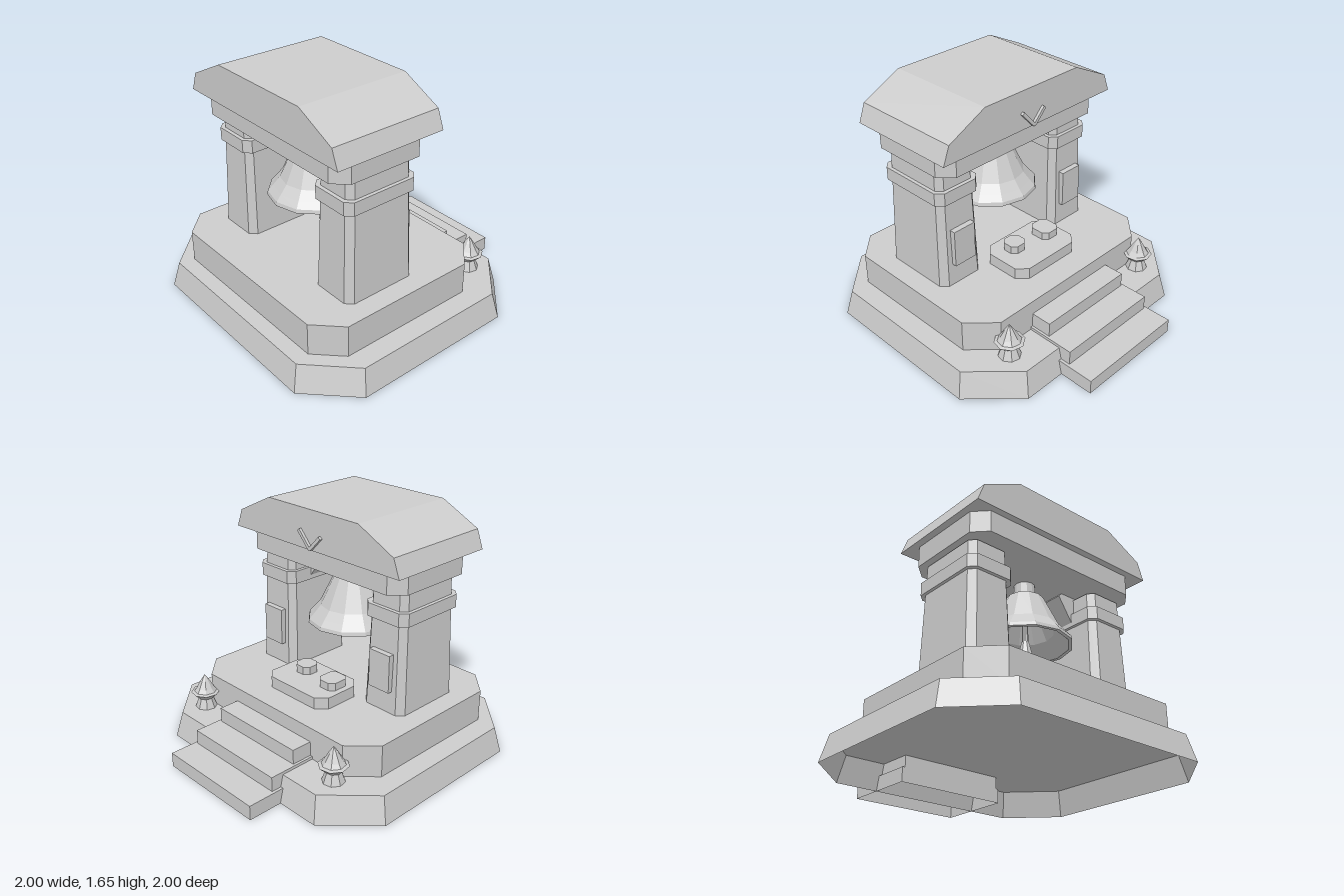
import * as THREE from 'three';

const stone = new THREE.MeshStandardMaterial({ color: 0xcccccc, flatShading: true, side: THREE.DoubleSide });
stone.name = 'grey stone';

function add(parent, name, geometry, x = 0, y = 0, z = 0) {
  const mesh = new THREE.Mesh(geometry, stone);
  mesh.name = name;
  mesh.position.set(x, y, z);
  parent.add(mesh);
  return mesh;
}

// Drops the faces lying on the lowest level, leaving a hollow shell.
function openBelow(source) {
  const geo = source.index ? source.toNonIndexed() : source;
  geo.computeBoundingBox();
  const floor = geo.boundingBox.min.y + 1e-5;
  const p = geo.attributes.position;
  const kept = [];
  for (let i = 0; i < p.count; i += 3) {
    if ([0, 1, 2].every((k) => p.getY(i + k) < floor)) continue;
    for (let k = 0; k < 3; k++) kept.push(p.getX(i + k), p.getY(i + k), p.getZ(i + k));
  }
  const shell = new THREE.BufferGeometry();
  shell.setAttribute('position', new THREE.Float32BufferAttribute(kept, 3));
  shell.computeVertexNormals();
  return shell;
}

// Box with cut vertical corners; the top may be smaller than the bottom.
function chamferedBlock(w, h, d, cut, inset = 0) {
  const a = w / 2, b = d / 2;
  const shape = new THREE.Shape([
    [a, -b + cut], [a, b - cut], [a - cut, b], [-a + cut, b],
    [-a, b - cut], [-a, -b + cut], [-a + cut, -b], [a - cut, -b],
  ].map(([x, y]) => new THREE.Vector2(x, y)));
  const geo = new THREE.ExtrudeGeometry(shape, { depth: h, bevelEnabled: false });
  geo.rotateX(-Math.PI / 2);
  const p = geo.attributes.position;
  for (let i = 0; i < p.count; i++) {
    if (p.getY(i) > h / 2) {
      p.setX(i, p.getX(i) * (a - inset) / a);
      p.setZ(i, p.getZ(i) * (b - inset) / b);
    }
  }
  geo.computeVertexNormals();
  return geo;
}

// Flat outline in x and y, given depth along z.
function slab(points, z0, z1) {
  const shape = new THREE.Shape(points.map(([x, y]) => new THREE.Vector2(x, y)));
  const geo = new THREE.ExtrudeGeometry(shape, { depth: z1 - z0, bevelEnabled: false });
  return geo.translate(0, 0, z0);
}

function lathe(points, sides) {
  const geo = new THREE.LatheGeometry(points.map(([r, y]) => new THREE.Vector2(r, y)), sides).toNonIndexed();
  geo.computeVertexNormals();
  return geo;
}

export function createModel() {
  const model = new THREE.Group();
  model.name = 'bellShrine';

  // Two-tier plinth, hollow underneath
  add(model, 'lowerBase', openBelow(chamferedBlock(2, 0.18, 1.76, 0.3, 0.043)), 0, 0, 0.12);
  add(model, 'upperBase', openBelow(chamferedBlock(1.63, 0.22, 1.32, 0.17)), 0, 0.18, 0.19);

  // Hollow steps at the back
  [[0.8, -1], [0.76, -0.807], [0.725, -0.615]].forEach(([w, z], i) => {
    const depth = -0.465 - z;
    add(model, 'step' + (i + 1), openBelow(new THREE.BoxGeometry(w, 0.1, depth)), 0, 0.05 + i * 0.1, z + depth / 2);
  });

  // Low pedestal with two small blocks
  add(model, 'pedestal', chamferedBlock(0.55, 0.08, 0.37, 0.067), 0, 0.4, -0.105);
  add(model, 'offeringBlockRight', chamferedBlock(0.145, 0.053, 0.16, 0.033), -0.162, 0.48, -0.076);
  add(model, 'offeringBlockLeft', chamferedBlock(0.13, 0.056, 0.13, 0.033), 0.11, 0.48, -0.055);

  for (const s of [1, -1]) {
    const side = s > 0 ? 'left' : 'right';

    // Tapered pillar with its collar and back plaque
    const pillar = new THREE.Group();
    pillar.name = side + 'Pillar';
    model.add(pillar);
    add(pillar, 'shaft', chamferedBlock(0.34, 0.826, 0.54, 0.045, 0.025), s * 0.506, 0.4, 0.29);
    add(pillar, 'collar', chamferedBlock(0.345, 0.09, 0.55, 0.045), s * 0.506, 1.02, 0.29);
    add(pillar, 'plaque', new THREE.BoxGeometry(0.17, 0.26, 0.06), s * 0.505, 0.685, 0.023);

    // Diagonal brace under the beam
    let outline = [[0.5, 1.24], [0.25, 1.24], [0.225, 1.215], [0.34, 1.04], [0.5, 1.04]];
    outline = outline.map(([x, y]) => [x * s, y]);
    add(model, side + 'Brace', slab(outline, 0.2, 0.37));

    // Corner finial
    const finial = [[0, 0], [0.075, 0], [0.05, 0.068], [0.1, 0.115], [0.078, 0.122],
      [0.06, 0.148], [0.03, 0.2], [0, 0.245]];
    const ornament = add(model, side + 'Finial', lathe(finial, 8), s * 0.637, 0.18, -0.535);
    ornament.rotation.y = s * 0.2;
  }

  // Beam and roof
  add(model, 'beam', chamferedBlock(1.37, 0.145, 0.7, 0.09), 0, 1.24, 0.29);
  add(model, 'roof', slab([[-0.733, 1.385], [0.733, 1.385], [0.685, 1.51],
    [0.4, 1.65], [-0.4, 1.65], [-0.685, 1.51]], -0.11, 0.685));

  // Carved chevron on the back of the roof
  for (const [x, y] of [[0.1, 1.505], [-0.09, 1.49]]) {
    const dy = y - 1.395;
    const bar = add(model, 'roofChevronBar', new THREE.BoxGeometry(Math.hypot(x, dy), 0.022, 0.04),
      x / 2, 1.395 + dy / 2, -0.11);
    bar.rotation.z = Math.atan2(dy, x);
  }

  // Hanging bell, hollow underneath
  const bell = new THREE.Group();
  bell.name = 'bell';
  bell.position.z = 0.275;
  model.add(bell);
  add(bell, 'hanger', new THREE.CylinderGeometry(0.07, 0.075, 0.12, 12), 0, 1.19, 0);
  add(bell, 'bellBody', lathe([[0, 1.08], [0.1, 1.08], [0.19, 0.9], [0.25, 0.84], [0.285, 0.805],
    [0.31, 0.805], [0.305, 0.83], [0.27, 0.87], [0.225, 0.925], [0.125, 1.14], [0, 1.14]], 12));
  const clapper = add(bell, 'clapper', new THREE.CylinderGeometry(0.025, 0.05, 0.1, 8), 0, 0.78, 0);
  clapper.rotation.y = Math.PI / 8;
  add(bell, 'clapperRod', new THREE.CylinderGeometry(0.02, 0.02, 0.28, 8), 0, 0.95, 0);

  return model;
}
